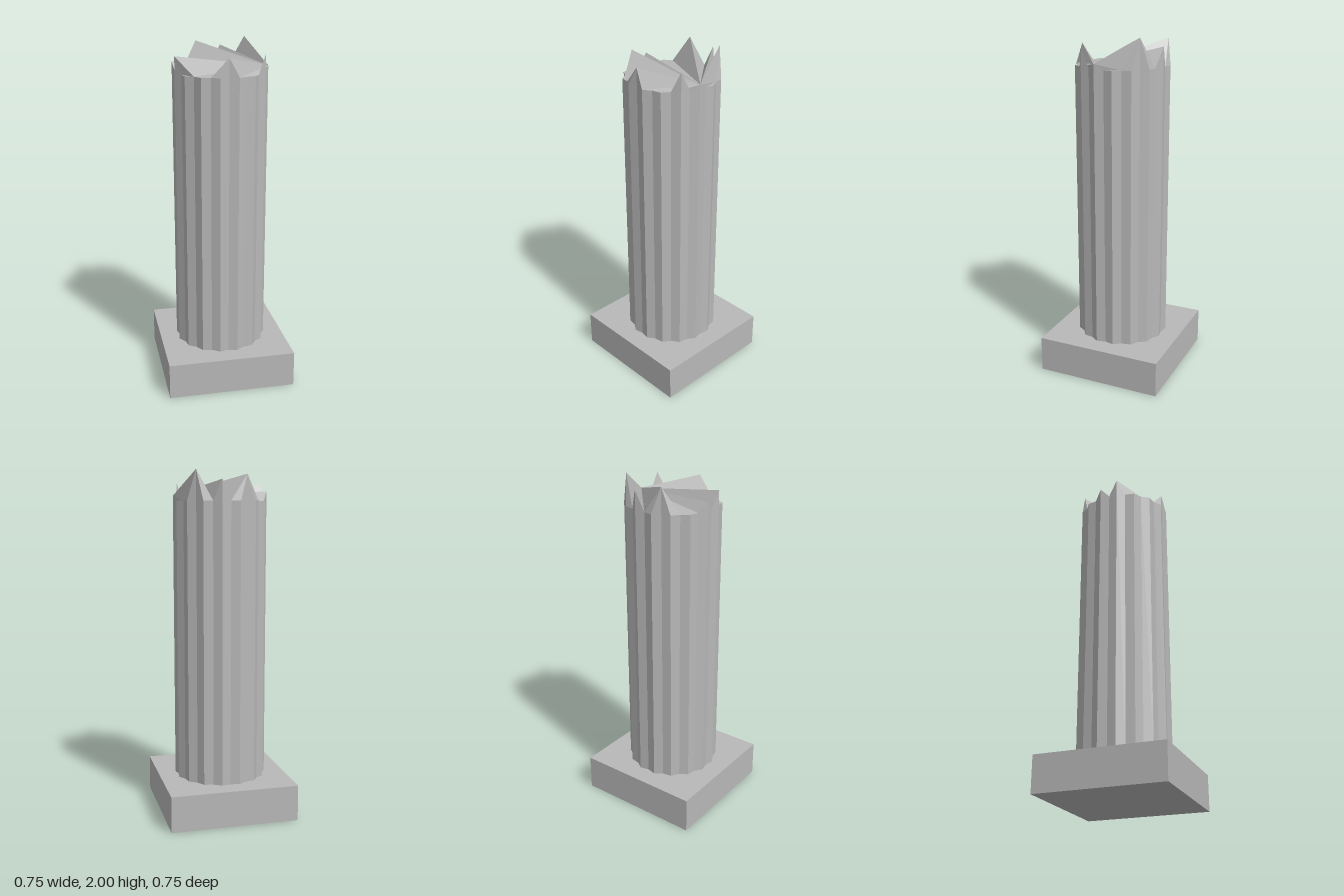
import * as THREE from 'three';

const SIDES = 32;          // 16 ridges alternating with 16 valleys
const BASE_TOP = 0.21;
const RIM = 1.83;

// Heights of the broken tips along the rim; every other rim point is level
const TIPS = { 1: 1.86, 3: 1.94, 8: 1.935, 15: 1.925, 17: 1.885, 22: 1.975, 25: 1.945, 28: 2.0 };

// Point i of the fluted outline at height y
function outline(i, y) {
  const a = (i / SIDES) * Math.PI * 2;
  const r = i % 2 ? 0.27 : 0.2535;
  return [r * Math.cos(a), y, r * Math.sin(a)];
}

const rim = (i) => outline(i % SIDES, TIPS[i % SIDES] ?? RIM);

function flatMesh(name, triangles, material) {
  const geometry = new THREE.BufferGeometry();
  geometry.setAttribute('position', new THREE.Float32BufferAttribute(triangles.flat(2), 3));
  geometry.computeVertexNormals();
  const mesh = new THREE.Mesh(geometry, material);
  mesh.name = name;
  return mesh;
}

export function createModel() {
  const group = new THREE.Group();
  group.name = 'brokenColumn';
  const stone = new THREE.MeshStandardMaterial({ color: 0xb8b8b8, flatShading: true, side: THREE.DoubleSide });
  stone.name = 'stone';

  // Square plinth
  const plinth = new THREE.Mesh(new THREE.BoxGeometry(0.745, BASE_TOP, 0.745), stone);
  plinth.name = 'plinth';
  plinth.position.y = BASE_TOP / 2;
  group.add(plinth);

  // Fluted shaft, its walls running up into the broken tips
  const walls = [];
  for (let i = 0; i < SIDES; i++) {
    const a = outline(i, BASE_TOP), b = outline((i + 1) % SIDES, BASE_TOP);
    walls.push([a, rim(i), rim(i + 1)], [a, rim(i + 1), b]);
  }
  group.add(flatMesh('flutedShaft', walls, stone));

  // Jagged break: sheets fanning from one rim point, with small corner pieces
  const chain = [2, 4, 6, 7, 8, 10, 12, 15, 16, 17, 18, 20, 22, 24, 25, 26, 28, 30, 32];
  const cap = [];
  for (let k = 0; k < chain.length - 1; k++) {
    const from = chain[k], to = chain[k + 1];
    cap.push([rim(1), rim(to), rim(from)]);
    for (let i = from + 1; i < to; i++) cap.push([rim(from), rim(i + 1), rim(i)]);
  }
  group.add(flatMesh('brokenTop', cap, stone));

  return group;
}
